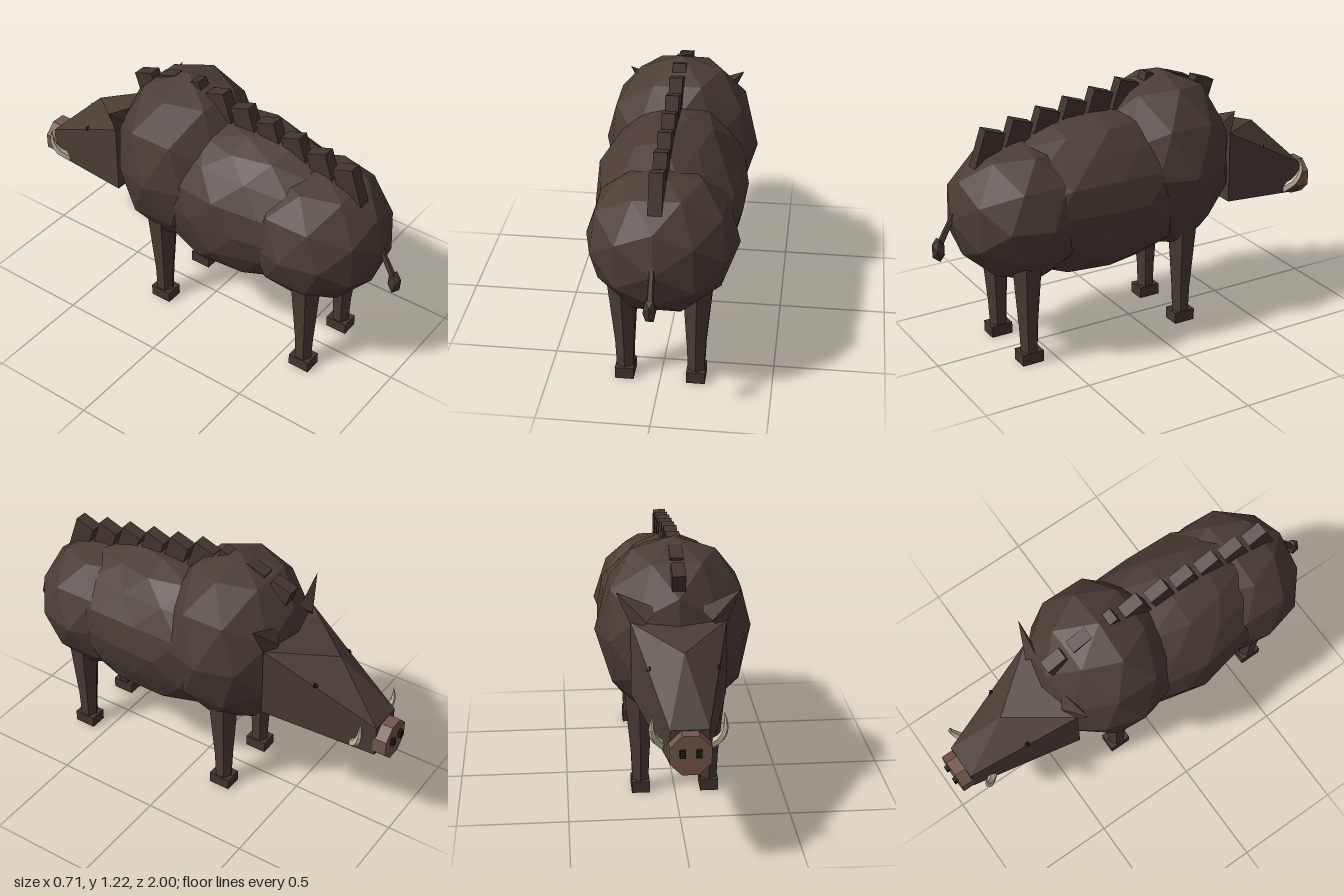
import * as THREE from 'three';
import { ConvexGeometry } from 'three/addons/geometries/ConvexGeometry.js';

const mat = (name, color) => {
  const m = new THREE.MeshStandardMaterial({ color, flatShading: true });
  m.name = name;
  return m;
};

export function createModel() {
  const hide = mat('brown hide', 0x4a3c35);
  const bristle = mat('dark bristle', 0x42352f);
  const pink = mat('snout pink', 0x74564c);
  const ivory = mat('ivory', 0xc9c3a8);
  const black = mat('black', 0x1c1714);

  const boar = new THREE.Group();
  boar.name = 'boar';
  const V = (x, y, z) => new THREE.Vector3(x, y, z);

  function add(name, geometry, material, x = 0, y = 0, z = 0) {
    const mesh = new THREE.Mesh(geometry, material);
    mesh.name = name;
    mesh.position.set(x, y, z);
    boar.add(mesh);
    return mesh;
  }

  // Faceted ellipsoid whose vertices are pushed in and out by a repeatable amount
  function lump(rx, ry, rz, detail, rough) {
    const g = new THREE.IcosahedronGeometry(1, detail);
    const p = g.attributes.position;
    for (let i = 0; i < p.count; i++) {
      const [a, b, c] = [p.getX(i), p.getY(i), p.getZ(i)].map((n) => Math.round(n * 100));
      const h = Math.sin(a * 12.99 + b * 78.23 + c * 37.72) * 437.58;
      const k = 1 + rough * ((h - Math.floor(h)) * 2 - 1);
      p.setXYZ(i, p.getX(i) * rx * k, p.getY(i) * ry * k, p.getZ(i) * rz * k);
    }
    g.computeVertexNormals();
    return g;
  }

  // Tapered rod between two points
  function rod(name, from, to, r0, r1, sides, material) {
    const dir = to.clone().sub(from);
    const mid = from.clone().add(to).multiplyScalar(0.5);
    const mesh = add(name, new THREE.CylinderGeometry(r1, r0, dir.length(), sides), material, mid.x, mid.y, mid.z);
    mesh.quaternion.setFromUnitVectors(V(0, 1, 0), dir.normalize());
    return mesh;
  }

  // Trunk: shoulder hump, barrel and rump
  add('shoulderHump', lump(0.355, 0.435, 0.335, 1, 0.015), hide, 0, 0.79, -0.155);
  add('barrel', lump(0.34, 0.375, 0.58, 2, 0.045), hide, 0, 0.712, 0.21);
  add('rump', lump(0.335, 0.33, 0.34, 1, 0.02), hide, 0, 0.69, 0.57);

  // Wedge head with a raised brow point, tapering to the snout
  const headPoints = [V(0, 0.87, -0.69)];
  for (const s of [1, -1]) {
    headPoints.push(
      V(s * 0.21, 0.915, -0.42), V(s * 0.21, 0.575, -0.42),
      V(s * 0.082, 0.63, -0.93), V(s * 0.082, 0.48, -0.93));
  }
  add('head', new ConvexGeometry(headPoints), hide);
  const snout = add('snoutDisc', new THREE.CylinderGeometry(0.094, 0.094, 0.065, 8), pink, 0, 0.54, -0.952);
  snout.rotation.set(Math.PI / 2, Math.PI / 8, 0);

  // Tapered curved tusk
  function tuskGeometry(s) {
    const path = new THREE.CatmullRomCurve3([
      V(s * 0.095, 0.515, -0.825), V(s * 0.135, 0.56, -0.865),
      V(s * 0.153, 0.615, -0.885), V(s * 0.148, 0.685, -0.885)]);
    const rings = 6, sides = 5;
    const g = new THREE.TubeGeometry(path, rings, 0.021, sides);
    const p = g.attributes.position, v = V(0, 0, 0);
    for (let i = 0; i < p.count; i++) {
      const t = Math.floor(i / (sides + 1)) / rings;
      const c = path.getPointAt(t);
      v.fromBufferAttribute(p, i).sub(c).multiplyScalar(1 - 0.97 * t * t).add(c);
      p.setXYZ(i, v.x, v.y, v.z);
    }
    g.computeVertexNormals();
    return g;
  }

  for (const s of [1, -1]) {
    const side = s > 0 ? 'left' : 'right';
    add(side + 'Nostril', new THREE.BoxGeometry(0.024, 0.034, 0.02), black, s * 0.034, 0.552, -0.99);
    add(side + 'Eye', new THREE.OctahedronGeometry(0.016), black, s * 0.145, 0.787, -0.65);
    add(side + 'Tusk', tuskGeometry(s), ivory);

    // Flattened ears pointing up and out
    const ear = rod(side + 'Ear', V(s * 0.14, 0.92, -0.425), V(s * 0.27, 1.045, -0.4), 0.075, 0.001, 4, hide);
    ear.scale.z = 0.45;

    // Two-piece legs with block hooves
    for (const [end, z] of [['front', -0.19], ['rear', 0.62]]) {
      const x = s * 0.16, name = side + end[0].toUpperCase() + end.slice(1);
      rod(name + 'UpperLeg', V(x, 0.2, z), V(x + s * 0.007, 0.56, z), 0.05, 0.08, 6, hide);
      rod(name + 'LowerLeg', V(x, 0.04, z), V(x, 0.2, z), 0.042, 0.049, 6, hide);
      add(name + 'Hoof', new THREE.BoxGeometry(0.084, 0.055, 0.105), bristle, x, 0.0275, z);
    }
  }

  // Crest of leaning bristle blocks along the spine
  const crestTops = [1.07, 1.095, 1.12, 1.143, 1.165, 1.188, 1.2, 1.18, 1.14];
  crestTops.forEach((top, i) => {
    const block = add('crestBristle' + (i + 1), new THREE.BoxGeometry(0.06, 0.18, 0.1), bristle,
      0, top - 0.085, 0.714 - 0.135 * i);
    block.rotation.x = -0.33;
  });

  // Tail with a small tuft
  rod('tail', V(0, 0.76, 0.865), V(0, 0.59, 0.96), 0.012, 0.016, 5, hide);
  add('tailTuft', lump(0.032, 0.06, 0.034, 0, 0), bristle, 0, 0.568, 0.968);

  return boar;
}
